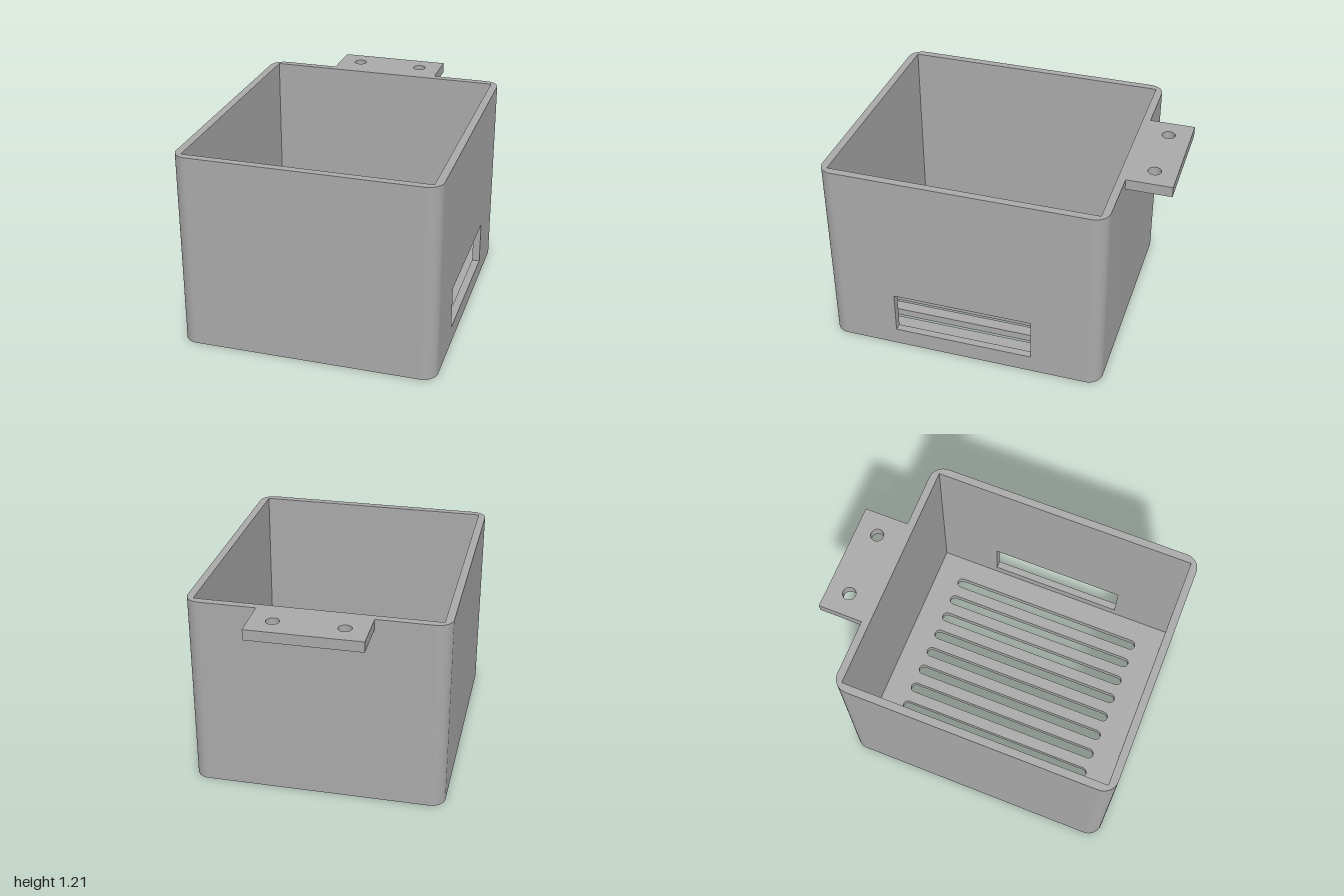
import * as THREE from 'three';
import { toCreasedNormals } from 'three/addons/utils/BufferGeometryUtils.js';

const W = 0.775, BACK = -0.725, FRONT = 1.0;   // outer half width and depth range
const HEIGHT = 1.205, WALL = 0.047, FLOOR = 0.047, R = 0.09;

function addRect(path, x0, y0, x1, y1) {
  path.moveTo(x0, y0).lineTo(x1, y0).lineTo(x1, y1).lineTo(x0, y1).closePath();
  return path;
}

function extrude(shape, depth) {
  return new THREE.ExtrudeGeometry(shape, { depth, bevelEnabled: false, curveSegments: 12 });
}

// Plan shapes are drawn as (x, -z) and raised from y0 to y1.
function plate(shape, y0, y1) {
  return extrude(shape, y1 - y0).rotateX(-Math.PI / 2).translate(0, y0, 0);
}

export function createModel() {
  const group = new THREE.Group();
  const grey = new THREE.MeshStandardMaterial({ color: 0xaaaaaa });
  grey.name = 'grey plastic';

  const add = (name, geometry) => {
    const mesh = new THREE.Mesh(toCreasedNormals(geometry, 0.5), grey);
    mesh.name = name;
    group.add(mesh);
  };

  const top = -BACK, bottom = -FRONT;
  const inner = W - WALL, innerTop = top - WALL, innerBottom = bottom + WALL;

  // Floor with rounded corners and nine round-ended slots
  const floor = new THREE.Shape();
  floor.moveTo(W, bottom + R).lineTo(W, top - R);
  floor.absarc(W - R, top - R, R, 0, Math.PI / 2, false);
  floor.absarc(-W + R, top - R, R, Math.PI / 2, Math.PI, false);
  floor.absarc(-W + R, bottom + R, R, Math.PI, Math.PI * 1.5, false);
  floor.absarc(W - R, bottom + R, R, Math.PI * 1.5, Math.PI * 2, false);
  const slotR = 0.032;
  for (let i = -4; i <= 4; i++) {
    const x = i * 0.138, slot = new THREE.Path();
    slot.absarc(x, 0.52 - slotR, slotR, 0, Math.PI, false);
    slot.absarc(x, -0.79 + slotR, slotR, Math.PI, Math.PI * 2, false);
    slot.closePath();
    floor.holes.push(slot);
  }
  add('slottedFloor', plate(floor, 0, FLOOR));

  // Front, back and plain side walls with all four rounded corners
  const walls = new THREE.Shape();
  walls.moveTo(W, top - R);
  walls.absarc(W - R, top - R, R, 0, Math.PI / 2, false);
  walls.absarc(-W + R, top - R, R, Math.PI / 2, Math.PI, false);
  walls.absarc(-W + R, bottom + R, R, Math.PI, Math.PI * 1.5, false);
  walls.absarc(W - R, bottom + R, R, Math.PI * 1.5, Math.PI * 2, false);
  walls.lineTo(inner, bottom + R).lineTo(inner, innerBottom).lineTo(-inner, innerBottom);
  walls.lineTo(-inner, innerTop).lineTo(inner, innerTop).lineTo(inner, top - R).closePath();
  add('walls', plate(walls, FLOOR, HEIGHT));

  // Side wall with the rectangular window, drawn as (-z, y)
  const side = addRect(new THREE.Shape(), bottom + R, FLOOR, top - R, HEIGHT);
  side.holes.push(addRect(new THREE.Path(), -0.573, 0.11, 0.295, 0.375));
  add('windowWall', extrude(side, WALL).rotateY(Math.PI / 2).translate(inner, 0, 0));

  // Mounting tab with two screw holes
  const tab = addRect(new THREE.Shape(), -0.342, top, 0.342, 1);
  for (const x of [-0.205, 0.205]) {
    tab.holes.push(new THREE.Path().absarc(x, 0.865, 0.04, 0, Math.PI * 2, false));
  }
  add('mountingTab', plate(tab, 1.14, HEIGHT));

  return group;
}
